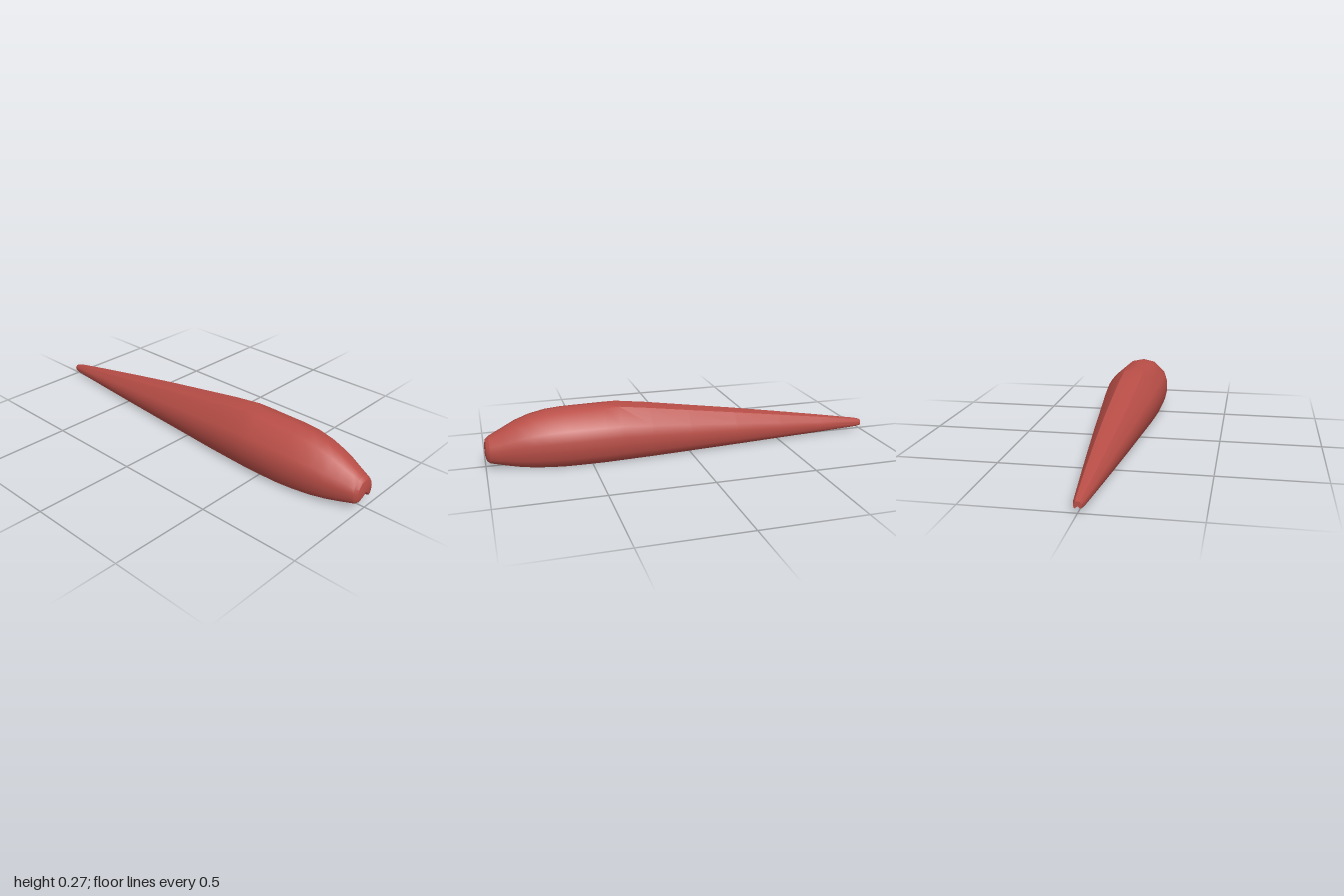
import * as THREE from 'three';
import { toCreasedNormals } from 'three/addons/utils/BufferGeometryUtils.js';

// Stations along the length: x, bottom, top, half width, ridge position (share of half width), ridge height (share)
const STATIONS = [
  [-1.0, 0.023, 0.053, 0.017, 0.5, 0.97],
  [-0.975, 0.02, 0.06, 0.024, 0.5, 0.97],
  [-0.75, 0.016, 0.098, 0.048, 0.5, 0.975],
  [-0.5, 0.013, 0.138, 0.074, 0.48, 0.98],
  [-0.25, 0.01, 0.178, 0.099, 0.45, 0.98],
  [0.0, 0.007, 0.216, 0.122, 0.41, 0.98],
  [0.2, 0.005, 0.247, 0.141, 0.38, 0.98],
  [0.35, 0.004, 0.267, 0.152, 0.35, 0.98],
  [0.43, 0.003, 0.27, 0.156, 0.36, 0.965],
  [0.52, 0.003, 0.27, 0.157, 0.37, 0.955],
  [0.62, 0.003, 0.269, 0.155, 0.39, 0.95],
  [0.7, 0.005, 0.262, 0.147, 0.41, 0.95],
  [0.78, 0.009, 0.245, 0.133, 0.42, 0.95],
  [0.85, 0.016, 0.219, 0.115, 0.44, 0.95],
  [0.91, 0.024, 0.188, 0.093, 0.45, 0.95],
  [0.95, 0.031, 0.167, 0.079, 0.46, 0.95],
  [0.978, 0.035, 0.153, 0.068, 0.46, 0.95],
];

// Closed cross-section, from the top down the +z side, through the groove and back up
function section([x, y0, y1, w, ridge, ridgeY]) {
  const half = [
    [ridge, ridgeY], [0.9, 0.69], [1, 0.5], [1, 0.33], [0.94, 0.18],
    [0.85, 0.06], [0.7, 0], [0.36, 0.15], [0.08, 0.28],
  ];
  const loop = [[0, 1], ...half, ...half.slice().reverse().map(([z, y]) => [-z, y])];
  return loop.map(([z, y]) => [x, y0 + y * (y1 - y0), z * w]);
}

// Skins a row of rings, optionally closing either end with a fan
function loft(rings, closeStart, closeEnd) {
  const pos = [];
  const tri = (a, b, c) => pos.push(...a, ...b, ...c);
  const n = rings[0].length;
  for (let i = 0; i < rings.length - 1; i++) {
    for (let j = 0; j < n; j++) {
      const k = (j + 1) % n;
      const [a, b, c, d] = [rings[i][j], rings[i][k], rings[i + 1][k], rings[i + 1][j]];
      tri(a, b, c);
      tri(a, c, d);
    }
  }
  const hub = (r) => [r[0][0], r[0][1] * 0.5 + r[6][1] * 0.5, 0];
  for (let j = 0; j < n; j++) {
    const k = (j + 1) % n;
    const first = rings[0], last = rings[rings.length - 1];
    if (closeStart) tri(hub(first), first[k], first[j]);
    if (closeEnd) tri(hub(last), last[j], last[k]);
  }
  const geo = new THREE.BufferGeometry();
  geo.setAttribute('position', new THREE.Float32BufferAttribute(pos, 3));
  return toCreasedNormals(geo, 0.59);
}

export function createModel() {
  const group = new THREE.Group();
  group.name = 'groovedStalk';
  const red = new THREE.MeshStandardMaterial({ color: 0xb94e47 });
  red.name = 'brick red';

  // Long tapered body with the groove underneath
  const rings = STATIONS.map(section);
  const body = new THREE.Mesh(loft(rings, true, false), red);
  body.name = 'body';

  // Slightly domed blunt end
  const rim = rings[rings.length - 1];
  const shrink = (x, s) => rim.map(([, y, z]) => [x, 0.09 + (y - 0.09) * s, z * s]);
  const cap = new THREE.Mesh(loft([rim, shrink(0.993, 0.8), shrink(1, 0.4)], false, true), red);
  cap.name = 'endCap';

  group.add(body, cap);
  group.position.y = -0.003;
  return group;
}
